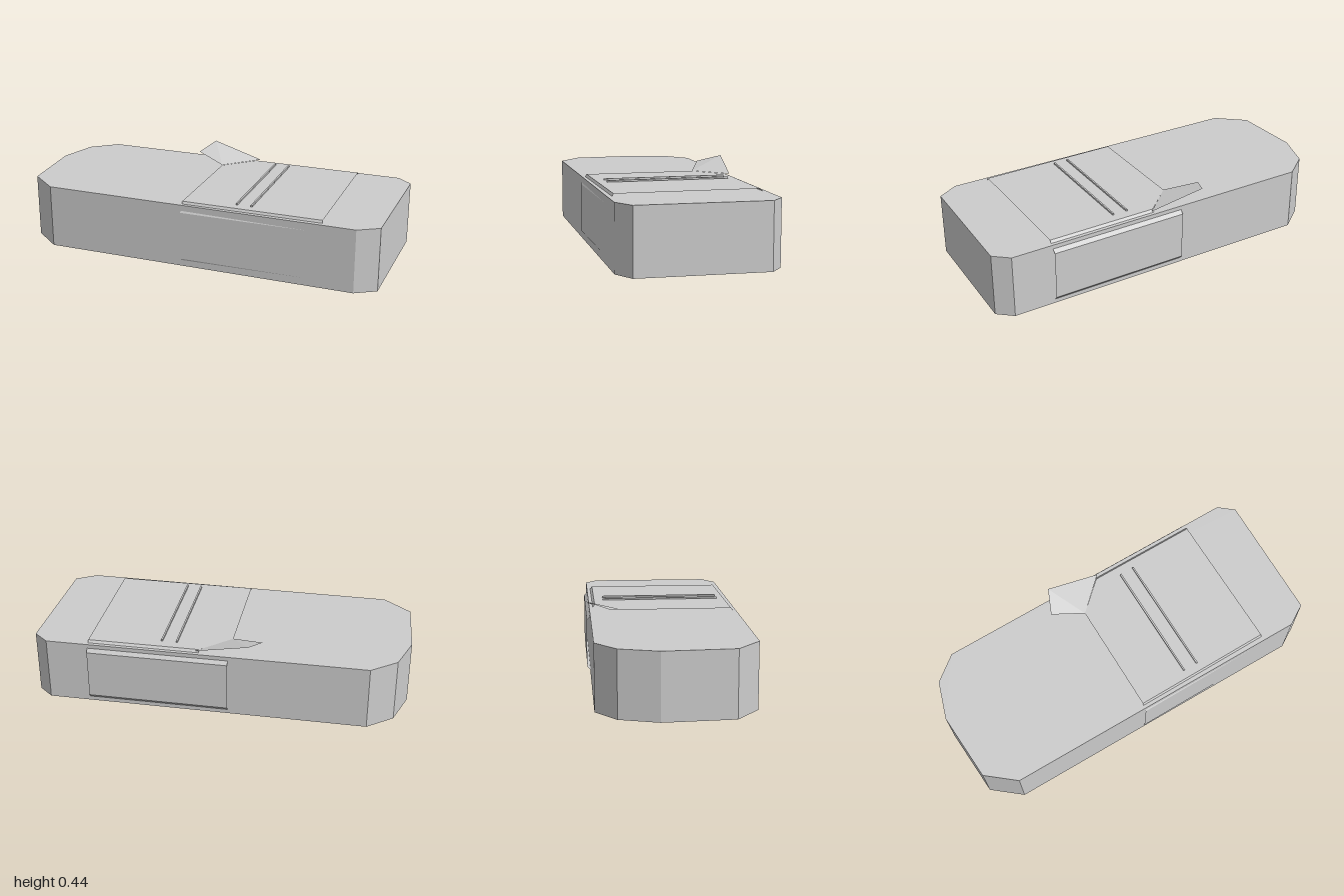
import * as THREE from 'three';

export function createModel() {
  const grey = new THREE.MeshStandardMaterial({ color: 0xcccccc, side: THREE.DoubleSide, flatShading: true });
  grey.name = 'grey';
  const model = new THREE.Group();
  const add = (parent, geometry, name) => {
    const mesh = new THREE.Mesh(geometry, grey);
    mesh.name = name;
    parent.add(mesh);
    return mesh;
  };

  // thin sheet: a fan over corners listed counter-clockwise from outside
  const sheet = (corners) => {
    const pos = [];
    for (let i = 1; i < corners.length - 1; i++) pos.push(...corners[0], ...corners[i], ...corners[i + 1]);
    const g = new THREE.BufferGeometry();
    g.setAttribute('position', new THREE.Float32BufferAttribute(pos, 3));
    g.computeVertexNormals();
    return g;
  };

  // block with worn, chamfered corners: outline in x, z
  const outline = [
    [-0.80, -0.395], [-0.935, -0.29], [-1.0, -0.09], [-0.98, 0.28], [-0.83, 0.404],
    [0.875, 0.418], [0.985, 0.353], [1.0, -0.328], [0.92, -0.395],
  ];
  const shape = new THREE.Shape(outline.map(([x, z]) => new THREE.Vector2(x, -z)));
  const block = new THREE.ExtrudeGeometry(shape, { depth: 0.345, bevelEnabled: false });
  block.rotateX(-Math.PI / 2).translate(0, 0.012, 0);
  add(model, block, 'block');

  // paper sleeve wrapped round the block: section in z, y with bevelled corners
  const sleeve = new THREE.Group();
  sleeve.name = 'sleeve';
  model.add(sleeve);
  const x0 = -0.062, x1 = 0.695, top = 0.37, tear = 0.095;
  const section = [
    [0.384, top], [0.416, 0.316], [0.416, 0.054], [0.384, 0], [-0.364, 0],
    [-0.412, 0.054], [-0.412, 0.316], [-0.388, 0.343], [-0.364, top],
  ];
  const names = ['frontTopBevel', 'frontPanel', 'frontBottomBevel', 'bottomPanel',
    'backBottomBevel', 'backPanel', 'backTopBevelLower', 'backTopBevelUpper'];
  names.forEach((name, i) => {
    const [za, ya] = section[i], [zb, yb] = section[i + 1];
    const start = i === 7 ? tear : x0;
    add(sleeve, sheet([[start, ya, za], [start, yb, zb], [x1, yb, zb], [x1, ya, za]]), name);
  });

  // top panel with its torn corner missing
  add(sleeve, sheet([
    [x0, top, 0.384], [x1, top, 0.384], [x1, top, -0.364], [tear, top, -0.364], [x0, top, -0.22],
  ]), 'topPanel');

  // torn corner peeled upward
  add(sleeve, sheet([
    [x0, 0.371, -0.22], [0.115, 0.371, -0.385], [-0.175, 0.442, -0.422], [-0.23, 0.407, -0.297],
  ]), 'peeledFlap');

  // two raised stripes across the sleeve
  for (const x of [0.225, 0.305]) {
    add(sleeve, new THREE.BoxGeometry(0.009, 0.009, 0.658), 'stripe').position.set(x, 0.3775, 0.013);
  }
  return model;
}
